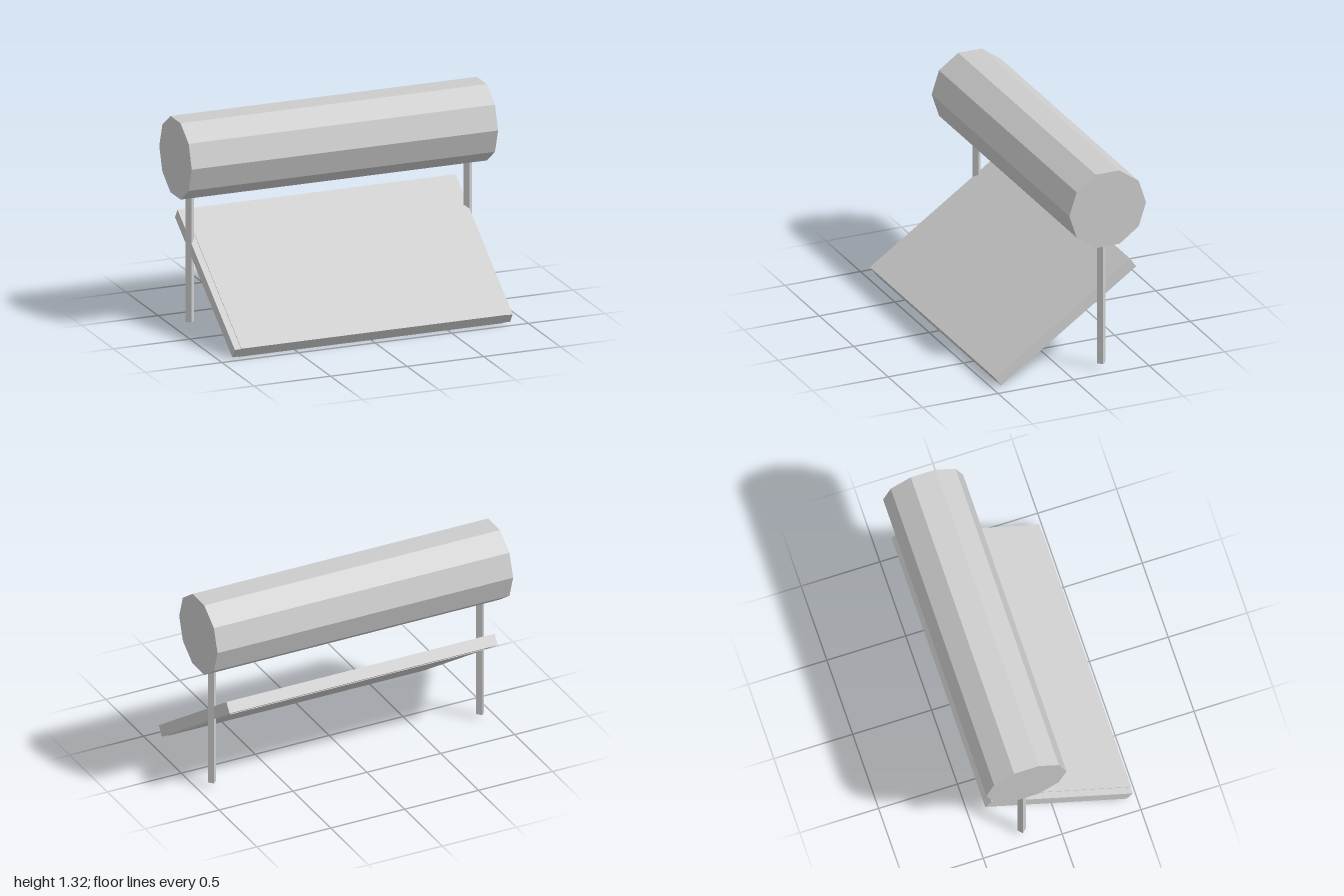
import * as THREE from 'three';

export function createModel() {
  const model = new THREE.Group();
  model.name = 'solarWaterHeater';
  const grey = new THREE.MeshStandardMaterial({ color: 0xcccccc, flatShading: true });
  grey.name = 'light grey';

  const add = (parent, name, geometry, x, y, z) => {
    const mesh = new THREE.Mesh(geometry, grey);
    mesh.name = name;
    mesh.position.set(x, y, z);
    parent.add(mesh);
    return mesh;
  };

  // Ten-sided tank lying along x
  const tank = add(model, 'tank', new THREE.CylinderGeometry(0.254, 0.254, 2, 10), 0, 1.082, -0.226);
  tank.rotation.z = Math.PI / 2;

  // Diamond-section legs, running up into the tank
  const legTop = 0.9, legBottom = 0.035;
  for (const side of [-1, 1]) {
    add(model, side > 0 ? 'leftLeg' : 'rightLeg',
      new THREE.CylinderGeometry(0.027, 0.027, legTop - legBottom, 4),
      side * 0.907, (legTop + legBottom) / 2, -0.226);
  }

  // Sloping collector: a frame with a slightly thicker plate, flush at the low end
  const collector = new THREE.Group();
  collector.name = 'collector';
  collector.position.set(0, 0.345, 0.011);
  collector.rotation.x = 0.606;
  model.add(collector);
  const length = 1.09, plateLength = 1.0;
  add(collector, 'collectorFrame', new THREE.BoxGeometry(1.814, 0.071, length), 0, 0, 0);
  add(collector, 'collectorPlate', new THREE.BoxGeometry(1.73, 0.079, plateLength),
    0, 0, (length - plateLength) / 2 + 0.0005);

  return model;
}
